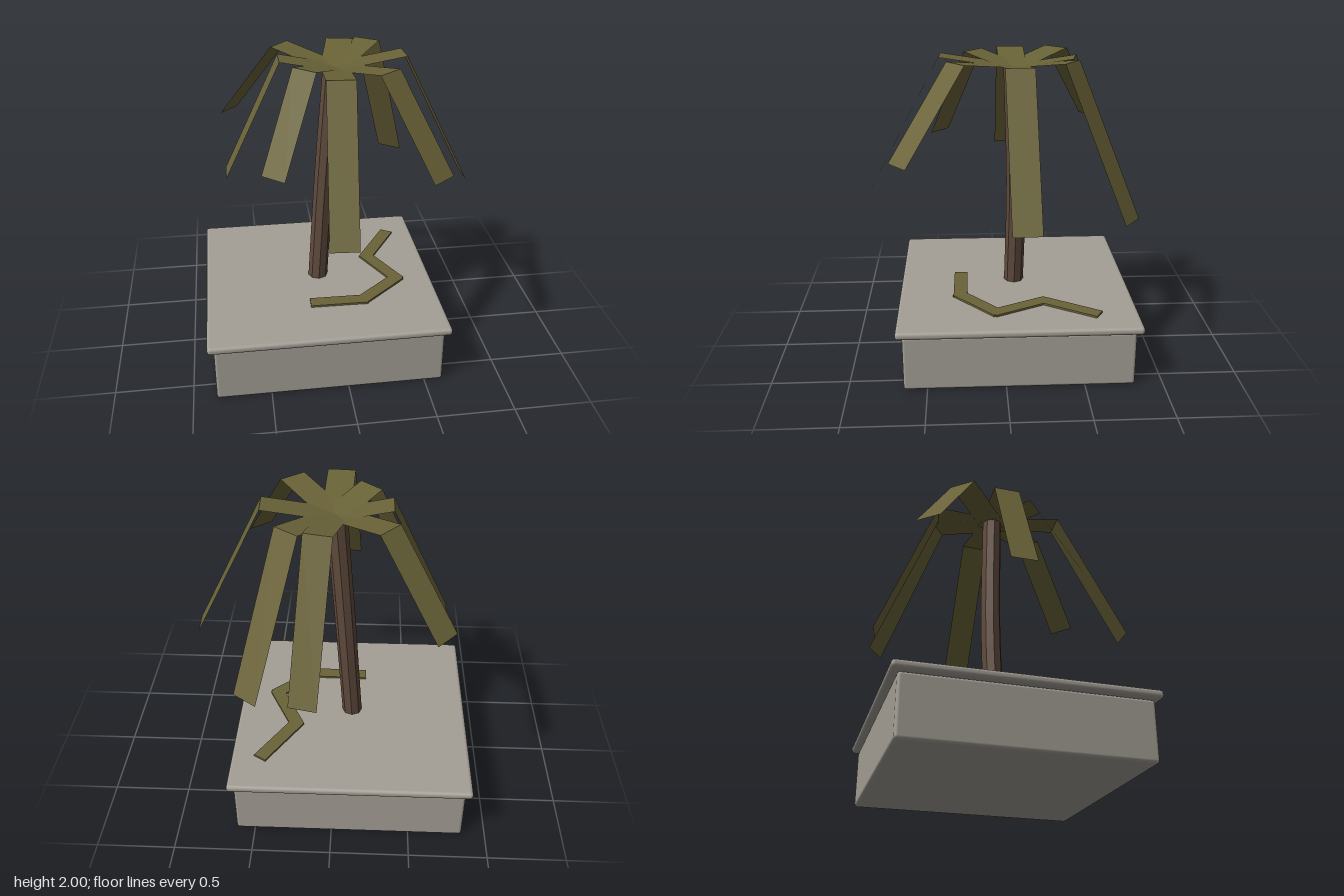
import * as THREE from 'three';
import { RoundedBoxGeometry } from 'three/addons/geometries/RoundedBoxGeometry.js';

export function createModel() {
  const stone = new THREE.MeshStandardMaterial({ color: 0xa39e95 });
  stone.name = 'stone';
  const bark = new THREE.MeshStandardMaterial({ color: 0x5f4a3c, flatShading: true });
  bark.name = 'bark';
  const leaf = new THREE.MeshStandardMaterial({ color: 0x6a6338, flatShading: true, side: THREE.DoubleSide });
  leaf.name = 'dry leaf';

  const model = new THREE.Group();
  model.name = 'pottedPalm';
  const add = (name, geometry, material, parent = model) => {
    const mesh = new THREE.Mesh(geometry, material);
    mesh.name = name;
    parent.add(mesh);
    return mesh;
  };

  // Square planter with a wider slab on top
  const cx = -0.115, cz = -0.085;
  add('planterBase', new RoundedBoxGeometry(1.47, 0.37, 1.47, 2, 0.02), stone).position.set(cx, 0.185, cz);
  add('planterSlab', new RoundedBoxGeometry(1.55, 0.05, 1.55, 2, 0.022), stone).position.set(cx, 0.396, cz);

  // Leaning, slightly curved trunk
  const hub = new THREE.Vector3(0, 1.93, -0.07);
  const trunkPath = new THREE.CatmullRomCurve3([
    new THREE.Vector3(cx, 0.4, cz),
    new THREE.Vector3(-0.066, 1.13, -0.098),
    new THREE.Vector3(-0.005, 1.93, -0.075),
  ]);
  add('trunk', new THREE.TubeGeometry(trunkPath, 6, 0.066, 8), bark);

  // Fronds: a flat strip rising from the hub to an elbow, then drooping to the tip
  const frond = (elbow, tip) => {
    const rows = [hub, elbow, tip];
    const side = new THREE.Vector3(tip.z - hub.z, 0, hub.x - tip.x).setLength(0.088);
    const points = rows.flatMap((p) => [p.clone().add(side), p.clone().sub(side)]);
    const geometry = new THREE.BufferGeometry().setFromPoints(points);
    geometry.setIndex([0, 1, 2, 1, 3, 2, 2, 3, 4, 3, 5, 4]);
    const flat = geometry.toNonIndexed();
    flat.computeVertexNormals();
    return flat;
  };
  // elbow x, elbow z, tip x, tip y, tip z
  const fronds = [
    [0.445, -0.085, 0.878, 1.13, -0.105],
    [0.285, 0.29, 0.55, 1.45, 0.64],
    [0.265, -0.41, 0.51, 1.065, -0.77],
    [0.085, -0.445, 0.165, 1.055, -0.83],
    [-0.32, -0.37, -0.66, 1.46, -0.66],
    [-0.345, -0.067, -0.705, 1.25, -0.067],
    [-0.21, 0.18, -0.43, 1.41, 0.41],
    [-0.02, 0.39, -0.062, 1.14, 0.85],
  ];
  const crown = new THREE.Group();
  crown.name = 'crown';
  model.add(crown);
  for (const [ex, ez, tx, ty, tz] of fronds) {
    add('frond', frond(new THREE.Vector3(ex, 2, ez), new THREE.Vector3(tx, ty, tz)), leaf, crown);
  }

  // Zigzag fallen vine lying on the slab
  const vinePath = [[-0.18, 0.28], [0.15, 0.285], [0.415, 0.055], [0.26, -0.26], [0.46, -0.58]];
  const vine = new THREE.Group();
  vine.name = 'vine';
  model.add(vine);
  for (let i = 0; i < vinePath.length - 1; i++) {
    const [x0, z0] = vinePath[i], [x1, z1] = vinePath[i + 1];
    const length = Math.hypot(x1 - x0, z1 - z0) + 0.05;
    const part = add('vineSegment', new THREE.BoxGeometry(length, 0.02, 0.09), leaf, vine);
    part.position.set((x0 + x1) / 2, 0.424, (z0 + z1) / 2);
    part.rotation.y = Math.atan2(z0 - z1, x1 - x0);
  }
  return model;
}
